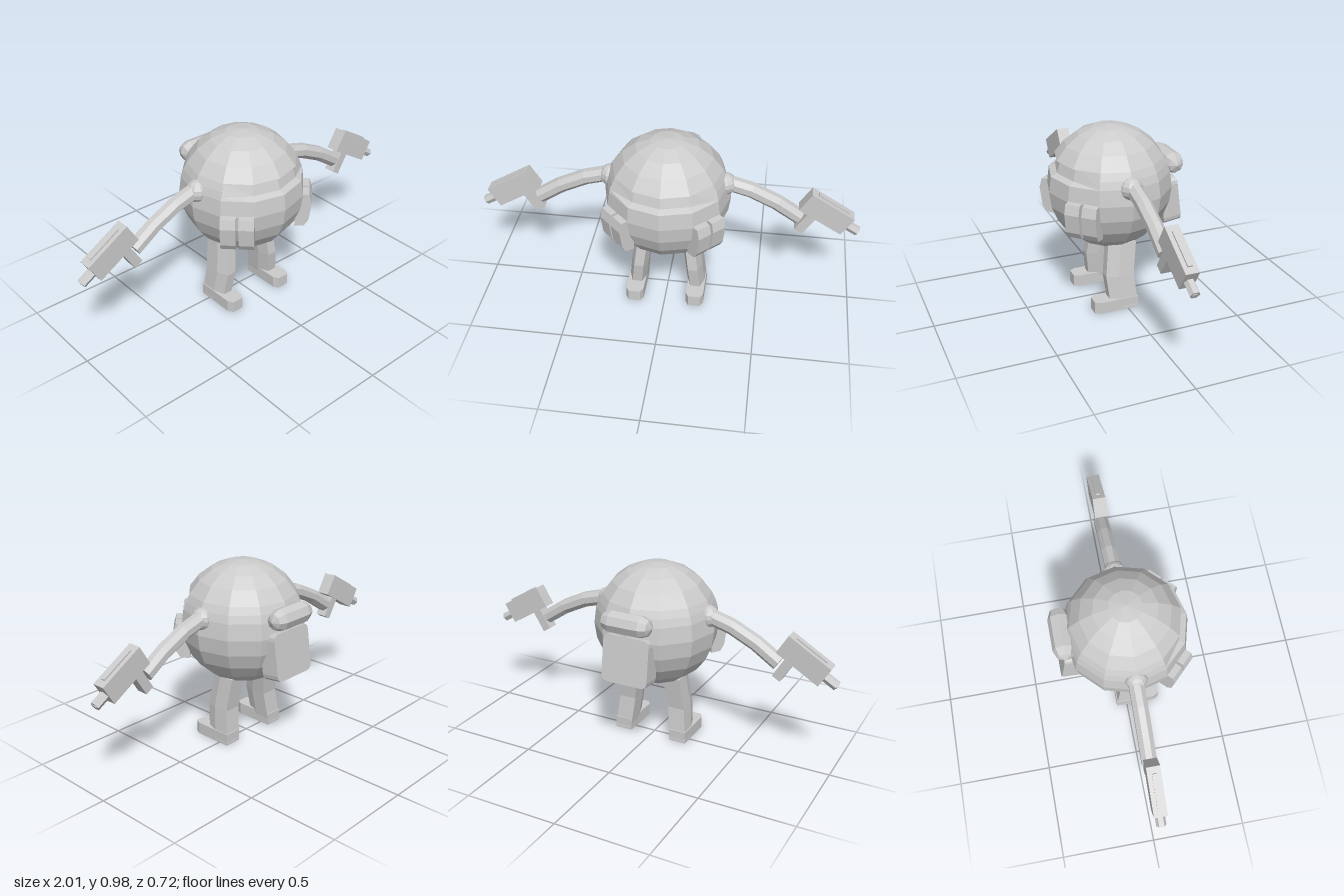
import * as THREE from 'three';

const grey = new THREE.MeshStandardMaterial({ color: 0xcccccc, flatShading: true });
const greyOpen = new THREE.MeshStandardMaterial({ color: 0xcccccc, flatShading: true, side: THREE.DoubleSide });
const RAD = Math.PI / 180;
const R = 0.33, CY = 0.645, CZ = 0.025;

function add(parent, name, geometry, x = 0, y = 0, z = 0, material = grey) {
  const mesh = new THREE.Mesh(geometry, material);
  mesh.name = name;
  mesh.position.set(x, y, z);
  parent.add(mesh);
  return mesh;
}

function polygon(points) {
  return new THREE.Shape(points.map(([x, y]) => new THREE.Vector2(x, y)));
}

function extrude(shape, depth, steps = 1) {
  return new THREE.ExtrudeGeometry(shape, { depth, steps, bevelEnabled: false, curveSegments: 3 });
}

// Round body with a recessed band across the face
function makeBody() {
  const body = new THREE.Group();
  body.name = 'body';
  body.position.set(0, CY, CZ);
  const patch = (name, cols, rows, phi0, phi, th0, th) => add(body, name,
    new THREE.SphereGeometry(R, cols, rows, phi0 * RAD, phi * RAD, th0 * RAD, th * RAD));
  patch('helmetTop', 12, 4, 90, 360, 0, 60);
  patch('helmetBack', 8, 1, 150, 240, 60, 15);
  patch('lowerBody', 12, 7, 90, 360, 75, 105);

  const lower = [R * Math.sin(75 * RAD), R * Math.cos(75 * RAD)];
  const upper = [R * Math.sin(60 * RAD), R * Math.cos(60 * RAD)];
  const profile = [lower, [0.285, 0.1], [0.265, upper[1]], upper];
  const face = new THREE.LatheGeometry(profile.map(p => new THREE.Vector2(...p)), 4, -60 * RAD, 120 * RAD);
  // Close the recess at both ends by easing it out to the helmet surface
  const p = face.attributes.position;
  for (const col of [0, 4]) {
    for (const row of [1, 2]) {
      const i = col * 4 + row;
      const r = row === 1 ? 0.312 : upper[0];
      const a = (-60 + col * 30) * RAD;
      p.setXYZ(i, r * Math.sin(a), p.getY(i), r * Math.cos(a));
    }
  }
  add(body, 'faceRecess', face, 0, 0, 0, greyOpen);
  return body;
}

// Pair of pouches hugging the body at the front corner
function makePouches() {
  const pouches = new THREE.Group();
  pouches.name = 'pouches';
  pouches.position.z = CZ;
  pouches.rotation.y = 45 * RAD;
  const profile = polygon([[0.28, 0.46], [0.33, 0.465], [0.352, 0.5], [0.366, 0.6], [0.352, 0.65], [0.28, 0.655]]);
  for (const offset of [-0.046, 0.046]) {
    const g = extrude(profile, 0.078);
    g.translate(0, 0, -0.039);
    g.rotateY(-Math.PI / 2); // profile faces +z
    add(pouches, 'pouch', g, offset);
  }
  return pouches;
}

function makeGun() {
  const gun = new THREE.Group();
  gun.name = 'blaster';
  gun.position.set(0.823, 0.601, 0.022);
  gun.rotation.z = -31 * RAD;
  add(gun, 'blasterBody', new THREE.BoxGeometry(0.262, 0.118, 0.07));
  add(gun, 'grip', new THREE.BoxGeometry(0.05, 0.15, 0.062), -0.052, -0.103);
  add(gun, 'topRail', new THREE.BoxGeometry(0.19, 0.014, 0.024), 0, 0.06);
  const barrel = new THREE.CylinderGeometry(0.026, 0.026, 0.1, 6);
  barrel.rotateZ(-Math.PI / 2);
  add(gun, 'barrel', barrel, 0.152, -0.008);
  const muzzle = new THREE.CylinderGeometry(0.015, 0.015, 0.012, 6);
  muzzle.rotateZ(-Math.PI / 2);
  add(gun, 'muzzle', muzzle, 0.2, -0.008);
  return gun;
}

function makeArm() {
  const arm = new THREE.Group();
  arm.name = 'arm';
  add(arm, 'shoulder', new THREE.SphereGeometry(0.06, 10, 8), 0.295, 0.727, CZ);
  const path = new THREE.CatmullRomCurve3([
    new THREE.Vector3(0.29, 0.737, 0.02),
    new THREE.Vector3(0.49, 0.675, 0.02),
    new THREE.Vector3(0.688, 0.552, 0.02),
  ]);
  const ring = Array.from({ length: 8 }, (_, i) => {
    const a = (i + 0.5) * Math.PI / 4;
    return [0.042 * Math.cos(a), 0.042 * Math.sin(a)];
  });
  add(arm, 'sleeve', new THREE.ExtrudeGeometry(polygon(ring), { steps: 3, extrudePath: path, bevelEnabled: false }));
  arm.add(makeGun());
  return arm;
}

function makeLeg() {
  const leg = new THREE.Group();
  leg.name = 'leg';
  // Shapes lie in the x / -z plane; the front corners are cut back
  const section = polygon([[-0.047, 0.075], [-0.047, -0.01], [-0.026, -0.073],
    [0.026, -0.073], [0.047, -0.01], [0.047, 0.075]]);
  const limb = extrude(section, 0.36, 2);
  limb.rotateX(-Math.PI / 2);
  const p = limb.attributes.position;
  // Bend at the knee and splay outward
  for (let i = 0; i < p.count; i++) {
    const t = p.getY(i) / 0.36;
    const knee = 1 - Math.abs(2 * t - 1);
    p.setX(i, p.getX(i) + 0.167 - 0.042 * t + 0.002 * knee);
    p.setZ(i, p.getZ(i) + 0.017 + 0.021 * knee);
  }
  limb.computeVertexNormals();
  add(leg, 'limb', limb, 0, 0.01);
  const sole = polygon([[-0.048, 0.057], [-0.048, -0.155], [-0.032, -0.184],
    [0.032, -0.184], [0.048, -0.155], [0.048, 0.057]]);
  const foot = extrude(sole, 0.065);
  foot.rotateX(-Math.PI / 2);
  add(leg, 'foot', foot, 0.165);
  return leg;
}

// Slab pack with rounded corners and a bedroll above it
function makeBackpack() {
  const pack = new THREE.Group();
  pack.name = 'backpack';
  const w = 0.13, h = 0.125, c = 0.035;
  const s = new THREE.Shape();
  s.moveTo(-w + c, -h);
  s.lineTo(w - c, -h);
  s.quadraticCurveTo(w, -h, w, -h + c);
  s.lineTo(w, h - c);
  s.quadraticCurveTo(w, h, w - c, h);
  s.lineTo(-w + c, h);
  s.quadraticCurveTo(-w, h, -w, h - c);
  s.lineTo(-w, -h + c);
  s.quadraticCurveTo(-w, -h, -w + c, -h);
  const slab = extrude(s, 0.1);
  slab.translate(0, 0, -0.04);
  add(pack, 'packSlab', slab, 0, 0.546, -0.285).rotation.x = 7.5 * RAD;
  const roll = new THREE.CapsuleGeometry(0.058, 0.17, 2, 8);
  roll.rotateZ(Math.PI / 2);
  add(pack, 'bedroll', roll, 0, 0.745, -0.302);
  return pack;
}

export function createModel() {
  const model = new THREE.Group();
  model.name = 'roundTrooper';
  model.add(makeBody(), makeBackpack());
  // Mirrored limbs and pouches
  for (const side of [1, -1]) {
    const half = new THREE.Group();
    half.name = side > 0 ? 'leftSide' : 'rightSide';
    half.scale.x = side;
    half.add(makeArm(), makeLeg(), makePouches());
    model.add(half);
  }
  return model;
}
